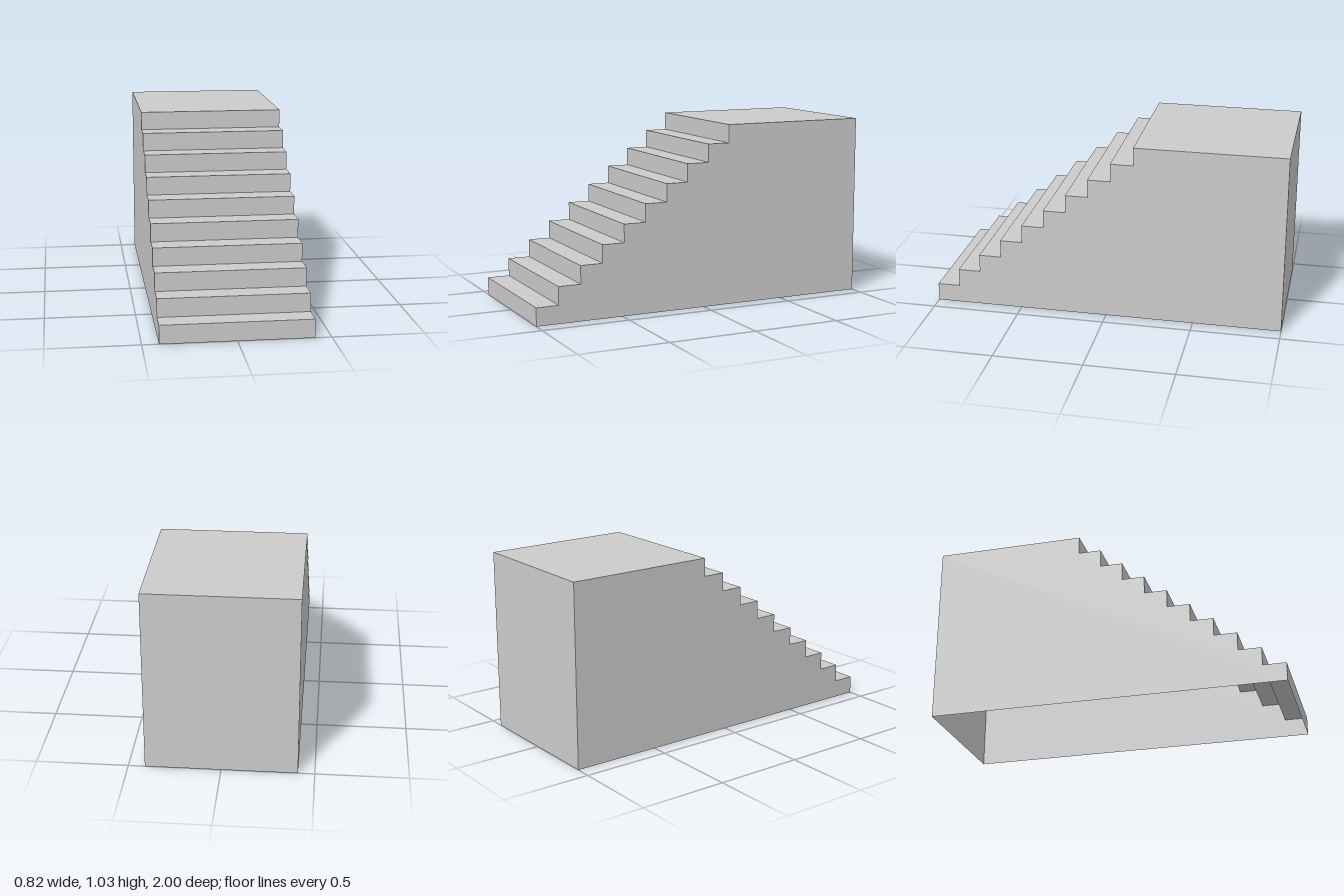
import * as THREE from 'three';

const STEPS = 10;
const RISE = 4 / 39;
const RUN = 5 / 39;
const WIDTH = 32 / 39;
const HEIGHT = STEPS * RISE;
const FRONT = 1;
const BACK = -1;

export function createModel() {
  const group = new THREE.Group();
  group.name = 'staircase';
  const material = new THREE.MeshStandardMaterial({
    color: 0xcccccc, flatShading: true, side: THREE.DoubleSide,
  });

  const add = (name, geometry) => {
    const mesh = new THREE.Mesh(geometry, material);
    mesh.name = name;
    group.add(mesh);
    return mesh;
  };

  // Stepped outline in (z, y), shared by both side walls
  const outline = new THREE.Shape();
  outline.moveTo(BACK, 0);
  outline.lineTo(FRONT, 0);

  for (let i = 0; i < STEPS; i++) {
    const z = FRONT - i * RUN;
    const zBack = i === STEPS - 1 ? BACK : z - RUN;
    const top = (i + 1) * RISE;
    outline.lineTo(z, top);
    outline.lineTo(zBack, top);

    // Riser faces the front
    add('riser' + (i + 1), new THREE.PlaneGeometry(WIDTH, RISE))
      .position.set(0, top - RISE / 2, z);

    // Tread faces up; the last one is the deep landing
    const tread = new THREE.PlaneGeometry(WIDTH, z - zBack).rotateX(-Math.PI / 2);
    add(i === STEPS - 1 ? 'landing' : 'tread' + (i + 1), tread)
      .position.set(0, top, (z + zBack) / 2);
  }
  outline.closePath();

  // Thin side walls; the underside stays open
  for (const [name, side] of [['leftWall', 1], ['rightWall', -1]]) {
    const geometry = new THREE.ShapeGeometry(outline);
    if (side > 0) {
      // Mirror the outline so this wall's front faces outwards
      geometry.scale(-1, 1, 1);
      const index = geometry.index;
      for (let i = 0; i < index.count; i += 3) {
        const b = index.getX(i + 1);
        index.setX(i + 1, index.getX(i + 2));
        index.setX(i + 2, b);
      }
      geometry.rotateY(Math.PI / 2);
      geometry.computeVertexNormals();
    } else {
      geometry.rotateY(-Math.PI / 2);
    }
    add(name, geometry).position.x = side * WIDTH / 2;
  }

  // Back wall
  add('backWall', new THREE.PlaneGeometry(WIDTH, HEIGHT).rotateY(Math.PI))
    .position.set(0, HEIGHT / 2, BACK);

  return group;
}
